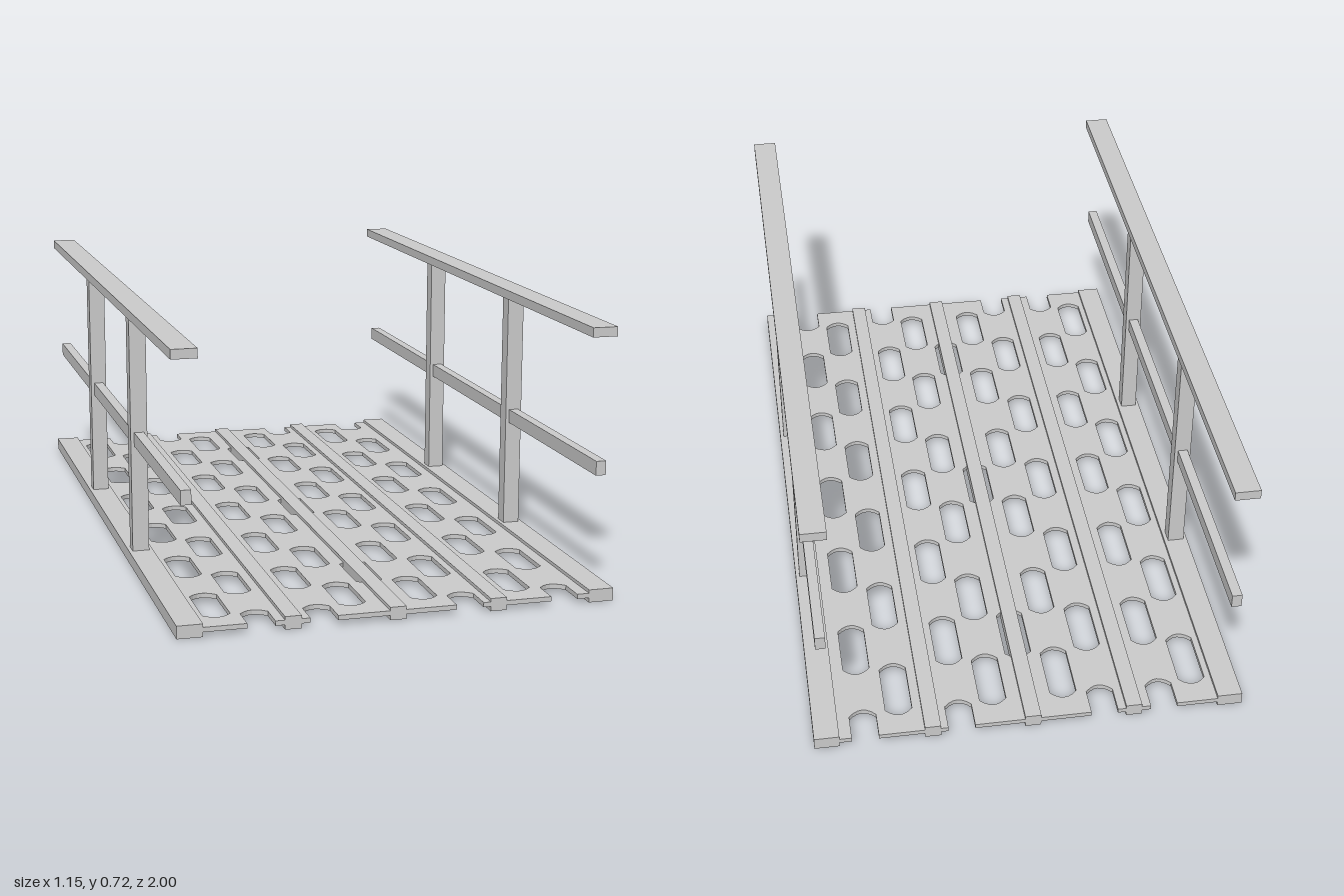
import * as THREE from 'three';

const material = new THREE.MeshStandardMaterial({ color: 0xcccccc });

// Box given by centre x, bottom and top y, centre z
function addBar(parent, name, x, y0, y1, z, width, length) {
  const mesh = new THREE.Mesh(new THREE.BoxGeometry(width, y1 - y0, length), material);
  mesh.position.set(x, (y0 + y1) / 2, z);
  mesh.name = name;
  parent.add(mesh);
}

const HALF = 0.036;      // slot half width
const SHOULDER = 0.077;  // where the straight slot side ends
const TIP = 0.118;       // control point of the curved end

// Elongated slot with shallow curved ends
function slot(x, z) {
  const p = new THREE.Path();
  p.moveTo(x - HALF, z - SHOULDER);
  p.quadraticCurveTo(x, z - TIP, x + HALF, z - SHOULDER);
  p.lineTo(x + HALF, z + SHOULDER);
  p.quadraticCurveTo(x, z + TIP, x - HALF, z + SHOULDER);
  p.closePath();
  return p;
}

// Perforated deck plate; staggered columns leave half slots at both ends
function createDeck() {
  const closedColumns = [-0.458, -0.103, 0.089, 0.344];
  const openColumns = [-0.363, -0.201, 0.185, 0.442];
  const pitch = 0.3345, edge = 0.545;
  const s = new THREE.Shape();
  s.moveTo(-edge, -1);
  for (const x of openColumns) {
    s.lineTo(x - HALF, -1);
    s.lineTo(x - HALF, -1 + SHOULDER);
    s.quadraticCurveTo(x, -1 + TIP, x + HALF, -1 + SHOULDER);
    s.lineTo(x + HALF, -1);
  }
  s.lineTo(edge, -1);
  s.lineTo(edge, 1);
  for (const x of [...openColumns].reverse()) {
    s.lineTo(x + HALF, 1);
    s.lineTo(x + HALF, 1 - SHOULDER);
    s.quadraticCurveTo(x, 1 - TIP, x - HALF, 1 - SHOULDER);
    s.lineTo(x - HALF, 1);
  }
  s.lineTo(-edge, 1);
  s.closePath();

  for (const x of closedColumns)
    for (let i = -2.5; i <= 2.5; i++) s.holes.push(slot(x, i * pitch));
  for (const x of openColumns)
    for (let i = -2; i <= 2; i++) s.holes.push(slot(x, i * pitch));
  // Slots half hidden by the middle beam
  for (const i of [-2, 0, 2]) s.holes.push(slot(-0.007, i * pitch));

  const geo = new THREE.ExtrudeGeometry(s, { depth: 0.0125, bevelEnabled: false, curveSegments: 6 });
  geo.rotateX(Math.PI / 2);
  geo.translate(0, 0.025, 0);
  const mesh = new THREE.Mesh(geo, material);
  mesh.name = 'deckPlate';
  return mesh;
}

// Handrail with two posts, a middle rail and a top rail
function createRailing(side, name) {
  const g = new THREE.Group();
  g.name = name;
  const x = side * 0.544;
  addBar(g, 'sideBeam', x, 0, 0.034, 0, 0.067, 2);
  addBar(g, 'topRail', x, 0.693, 0.718, 0, 0.067, 1.946);
  addBar(g, 'middleRail', x, 0.331, 0.369, 0, 0.027, 1.946);
  for (const z of [-0.334, 0.334]) addBar(g, 'post', x, 0.034, 0.693, z, 0.046, 0.042);
  return g;
}

export function createModel() {
  const model = new THREE.Group();
  model.name = 'walkway';
  model.add(createDeck());
  for (const x of [-0.281, -0.007, 0.262]) addBar(model, 'floorBeam', x, 0, 0.034, 0, 0.043, 2);
  model.add(createRailing(1, 'leftRailing'), createRailing(-1, 'rightRailing'));
  return model;
}
